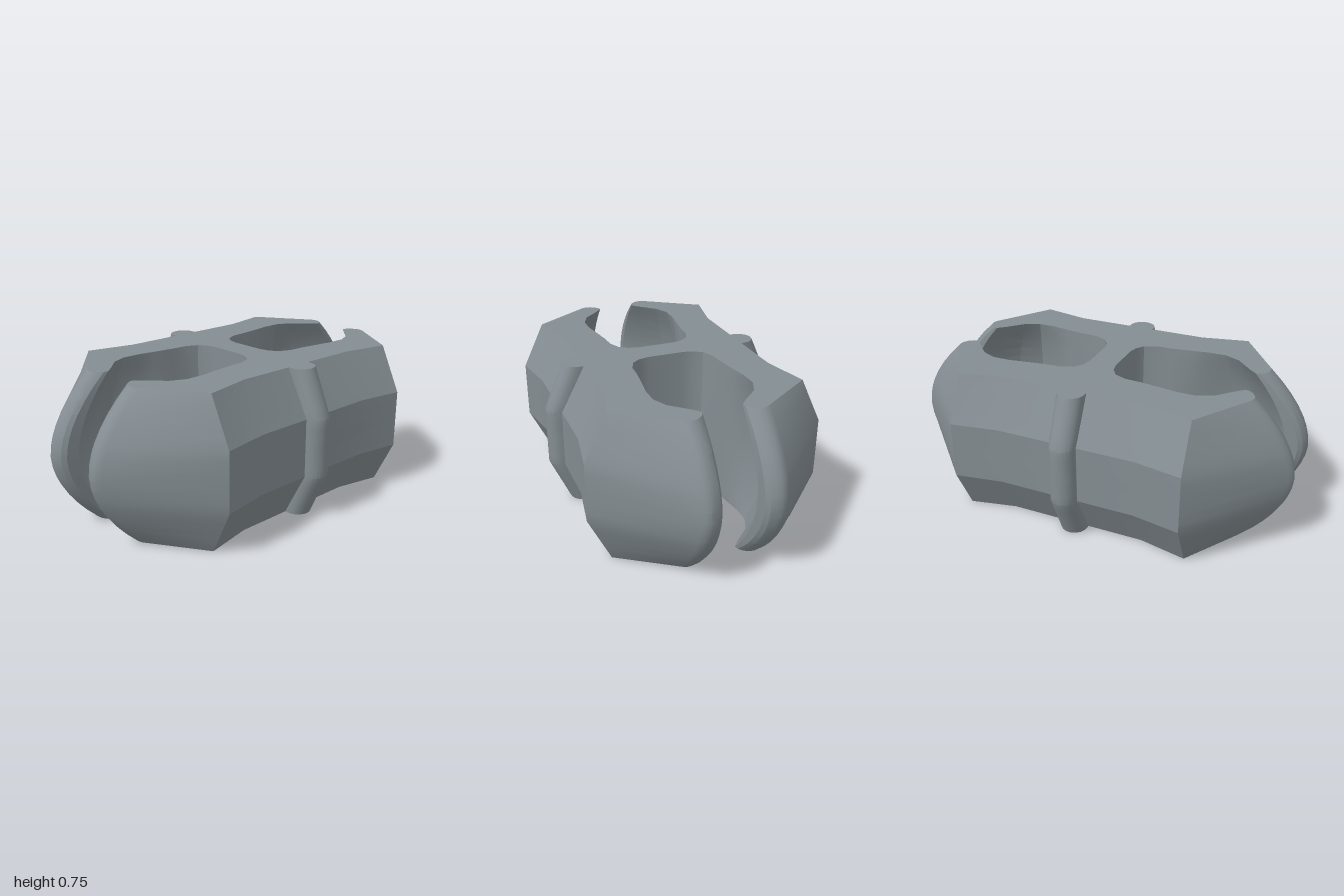
import * as THREE from 'three';
import { toCreasedNormals } from 'three/addons/utils/BufferGeometryUtils.js';

const HEIGHT = 0.745;

// Quarter outline: [x, z at the end faces, x, z at mid height], from cavity to side.
const CAVITY = [
  [0, 0.07, 0, 0.07], [0.09, 0.07, 0.09, 0.07], [0.14, 0.08, 0.14, 0.08],
  [0.185, 0.11, 0.183, 0.11], [0.21, 0.17, 0.205, 0.17], [0.215, 0.25, 0.21, 0.25],
  [0.23, 0.36, 0.235, 0.36], [0.243, 0.44, 0.29, 0.45], [0.243, 0.53, 0.325, 0.57],
  [0.21, 0.605, 0.28, 0.7], [0.13, 0.68, 0.14, 0.85], [0.096, 0.718, 0.096, 0.9],
];
const LIP = [
  [0.1, 0.737, 0.1, 0.96], [0.115, 0.758, 0.115, 0.982], [0.14, 0.774, 0.14, 0.996],
  [0.165, 0.778, 0.165, 1], [0.185, 0.773, 0.185, 0.995], [0.205, 0.76, 0.207, 0.978],
];
const SIDE = [[0.47, 0.585, 0.58, 0.585], [0.42, 0.35, 0.54, 0.35], [0.42, 0.067, 0.54, 0.067]];
// Half of the rounded side rib
const RIB = [];
for (let i = 0; i <= 5; i++) {
  const a = (i / 5) * Math.PI / 2;
  const dx = 0.065 * Math.sin(a), z = 0.066 * Math.cos(a);
  RIB.push([0.44 + dx, z, 0.541 + dx, z]);
}

// Closed four-fold outline at a height, counter-clockwise from above
function outline(y) {
  const t = 1 - Math.abs(2 * y / HEIGHT - 1);
  const curved = 1 - (1 - t) ** 1.85;        // jaws bulge in an arc
  const bevel = Math.min(1, t / 0.61);       // sides have a straight chamfer
  const blend = (rows, k) => rows.map(([x0, z0, x1, z1]) => [x0 + (x1 - x0) * k, z0 + (z1 - z0) * k]);
  const q = [...blend(CAVITY, curved), ...blend(LIP, curved), ...blend(SIDE, bevel), ...blend(RIB, bevel)];
  const back = q.slice(0, -1).reverse();
  return [
    ...q,
    ...back.map(([x, z]) => [x, -z]),
    ...q.slice(1).map(([x, z]) => [-x, -z]),
    ...back.slice(0, -1).map(([x, z]) => [-x, z]),
  ];
}

// Stack the outlines into a solid with flat end faces
function createBody() {
  const half = [0, 0.06, 0.115, 0.17, 0.227, 0.27, 0.32];
  const levels = [...half, HEIGHT / 2, ...half.map((y) => HEIGHT - y).reverse()];
  const rings = levels.map(outline);
  const n = rings[0].length;
  const positions = [], index = [];
  rings.forEach((ring, l) => ring.forEach(([x, z]) => positions.push(x, levels[l], z)));

  for (let l = 0; l < levels.length - 1; l++) {
    for (let i = 0; i < n; i++) {
      const j = (i + 1) % n;
      const a = l * n + i, b = l * n + j, c = b + n, d = a + n;
      // mirror the diagonals between the four quarters and about mid height
      const oddQuarter = Math.floor(i / (n / 4)) % 2 === 1;
      if ((l < half.length) === oddQuarter) index.push(a, b, c, a, c, d);
      else index.push(a, b, d, b, c, d);
    }
  }

  const top = (levels.length - 1) * n;
  const flat = rings[0].map(([x, z]) => new THREE.Vector2(x, -z));
  for (const [a, b, c] of THREE.ShapeUtils.triangulateShape(flat, [])) {
    index.push(top + a, top + b, top + c, a, c, b);
  }

  const geometry = new THREE.BufferGeometry();
  geometry.setAttribute('position', new THREE.Float32BufferAttribute(positions, 3));
  geometry.setIndex(index);
  return toCreasedNormals(geometry, 0.42);
}

export function createModel() {
  const model = new THREE.Group();
  model.name = 'doubleClip';
  const body = new THREE.Mesh(createBody(), new THREE.MeshStandardMaterial({ color: 0x848d92 }));
  body.name = 'clipBody';
  model.add(body);
  return model;
}
